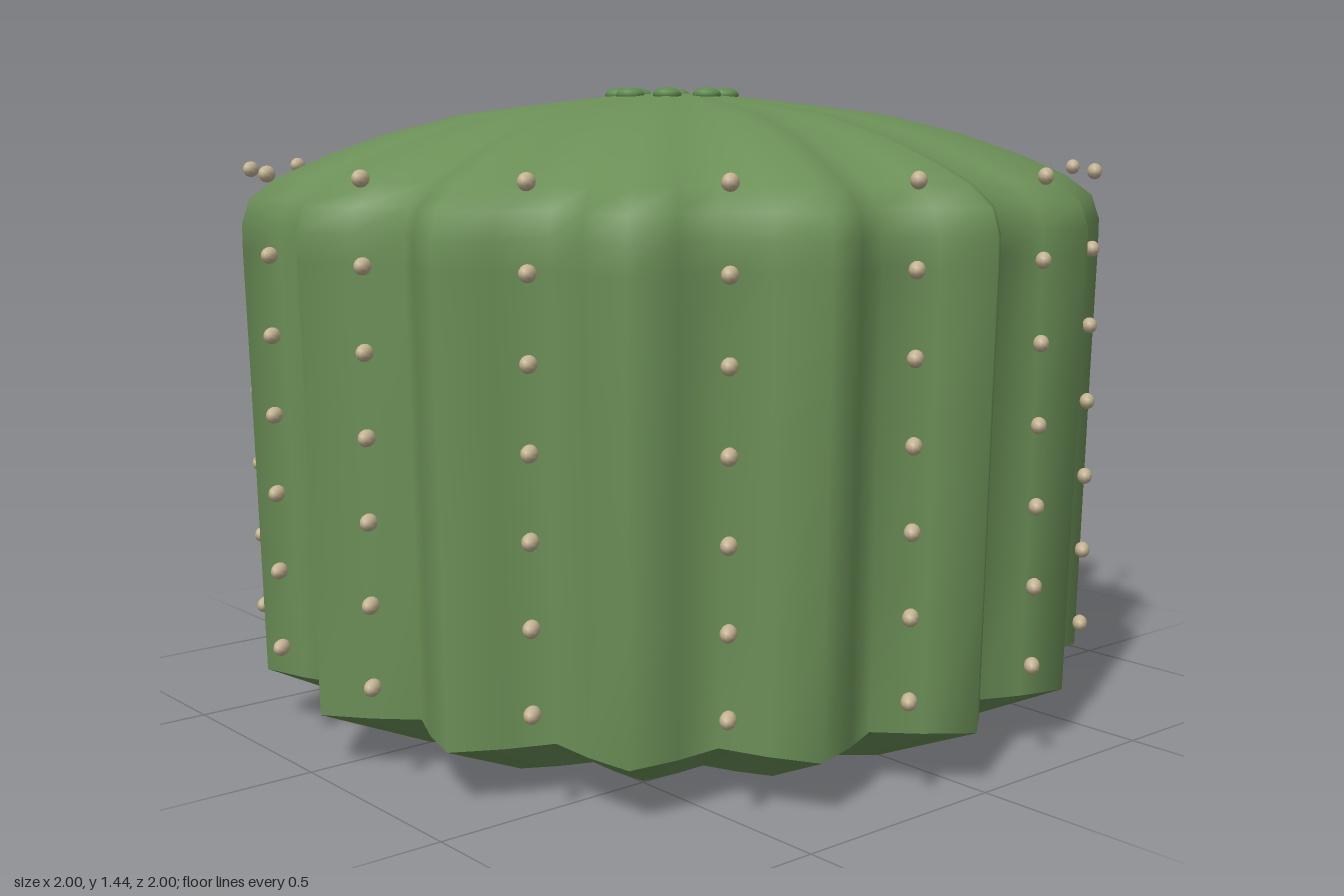
import * as THREE from 'three';
import { mergeGeometries } from 'three/addons/utils/BufferGeometryUtils.js';

const RIBS = 16, SEGMENTS = 64;

// Ribbed skin: profile points [radius at rib crest, height], running upwards
function ribbedSkin(profile) {
  const pos = [], index = [];
  for (const [r, y] of profile) {
    for (let i = 0; i < SEGMENTS; i++) {
      const a = (i / SEGMENTS) * Math.PI * 2;
      const rr = r * (0.933 + 0.067 * Math.cos(RIBS * a));
      pos.push(rr * Math.sin(a), y, rr * Math.cos(a));
    }
  }
  for (let j = 0; j < profile.length - 1; j++) {
    for (let i = 0; i < SEGMENTS; i++) {
      const k = (i + 1) % SEGMENTS;
      const a = j * SEGMENTS + i, b = j * SEGMENTS + k;
      const c = a + SEGMENTS, d = b + SEGMENTS;
      index.push(a, b, d, a, d, c);
    }
  }
  const geo = new THREE.BufferGeometry();
  geo.setAttribute('position', new THREE.Float32BufferAttribute(pos, 3));
  geo.setIndex(index);
  geo.computeVertexNormals();
  return geo;
}

// Small ellipsoid bead
function bead(rx, ry, rz, x, y, z, turn = 0) {
  return new THREE.SphereGeometry(1, 10, 8).scale(rx, ry, rz).rotateY(turn).translate(x, y, z);
}

export function createModel() {
  const model = new THREE.Group();
  const green = new THREE.MeshStandardMaterial({ name: 'cactusGreen', color: 0x6b8f57, side: THREE.DoubleSide });
  const budGreen = new THREE.MeshStandardMaterial({ name: 'budGreen', color: 0x5f8a50 });
  const tan = new THREE.MeshStandardMaterial({ name: 'spineTan', color: 0xc4b393 });

  const add = (name, geo, mat) => {
    const mesh = new THREE.Mesh(geo, mat);
    mesh.name = name;
    model.add(mesh);
  };

  // Body with domed top, and the tapered open foot with a crisp edge between
  add('ribbedBody', ribbedSkin([
    [0.973, 0.12], [0.98, 0.4], [0.99, 0.8], [0.998, 1.08], [0.998, 1.14], [0.98, 1.195],
    [0.92, 1.24], [0.82, 1.285], [0.68, 1.335], [0.5, 1.38], [0.32, 1.403], [0.17, 1.42], [0.08, 1.427], [0.001, 1.43],
  ]), green);
  add('taperedFoot', ribbedSkin([[0.7, 0], [0.973, 0.12]]), green);

  // Spine beads floating in front of every groove
  const spines = [];
  for (let i = 0; i < RIBS; i++) {
    const a = ((i + 0.5) / RIBS) * Math.PI * 2;
    for (let row = 0; row < 7; row++) {
      spines.push(bead(0.026, 0.018, 0.017, 0.977 * Math.sin(a), 0.223 + row * 0.172, 0.977 * Math.cos(a), 0.65));
    }
  }
  add('spines', mergeGeometries(spines), tan);

  // Crown of buds around a pale centre
  const buds = [];
  for (let i = 0; i < 8; i++) {
    const a = (i / 8) * Math.PI * 2;
    buds.push(bead(0.033, 0.017, 0.033, 0.125 * Math.sin(a), 1.425, 0.125 * Math.cos(a)));
  }
  add('crownBuds', mergeGeometries(buds), budGreen);
  add('crownCentre', bead(0.023, 0.01, 0.023, 0, 1.43, 0), tan);

  return model;
}
